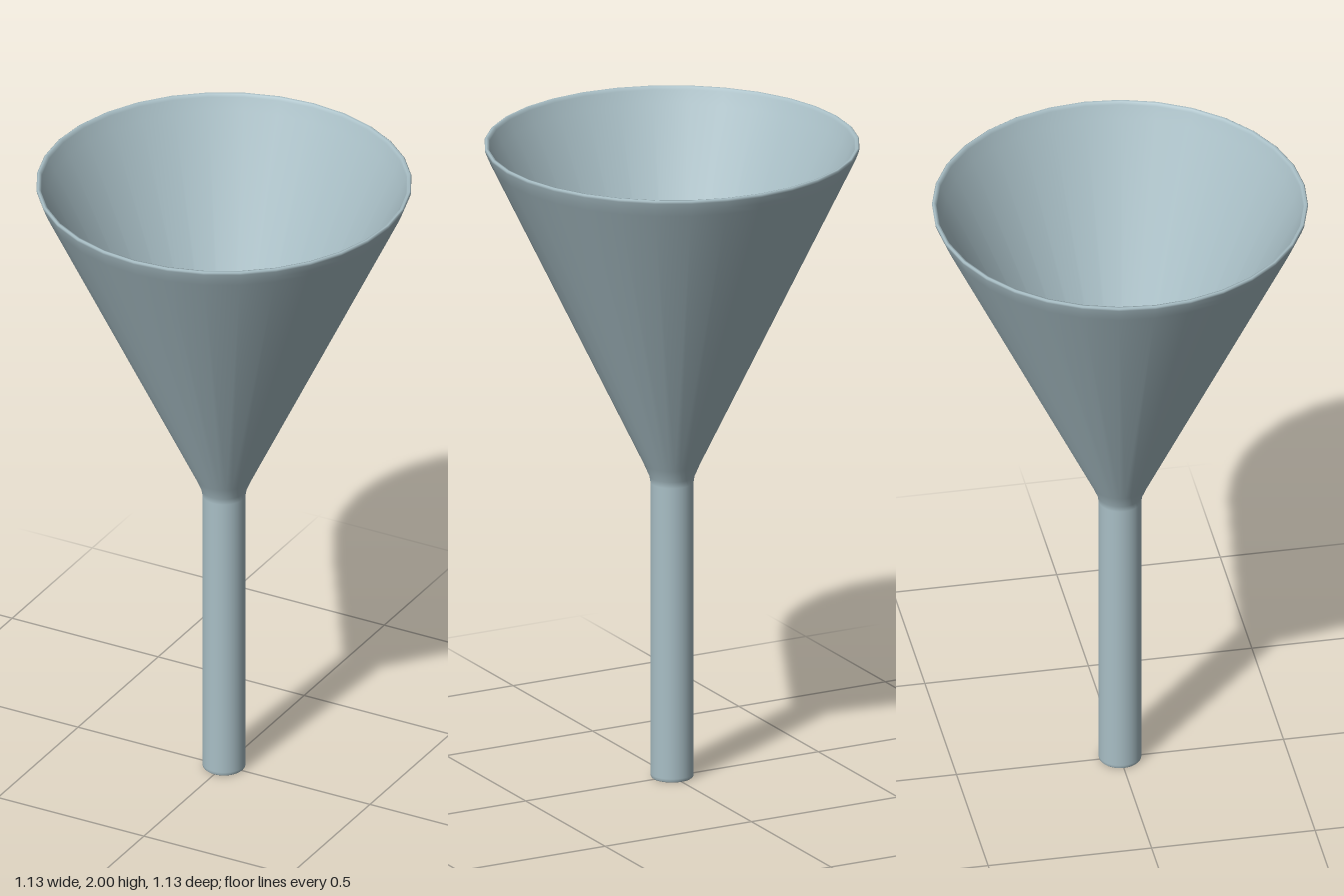
import * as THREE from 'three';

export function createModel() {
  const model = new THREE.Group();
  model.name = 'funnel';

  // Closed wall section: up the outside, over the rim, down the inside
  const profile = [
    [0.05, 0.4], [0.05, 0.01], [0.052, 0.002],                  // lower bore
    [0.055, 0], [0.061, 0], [0.064, 0.003], [0.065, 0.012],     // stem tip
    [0.065, 0.93], [0.068, 0.95], [0.085, 0.99],                // stem and neck
    [0.545, 1.945], [0.555, 1.967], [0.564, 1.99],              // cone
    [0.565, 1.997], [0.561, 2], [0.554, 1.999], [0.55, 1.99],   // rim
    [0.532, 1.95], [0.07, 0.99], [0.053, 0.955], [0.05, 0.935], // inner cone
    [0.05, 0.4],                                                // upper bore
  ].map(([r, y]) => new THREE.Vector2(r, y));

  const wall = new THREE.Mesh(
    new THREE.LatheGeometry(profile, 32),
    new THREE.MeshStandardMaterial({ color: 0xa9bfc6 })
  );
  wall.name = 'funnelWall';
  model.add(wall);
  return model;
}
